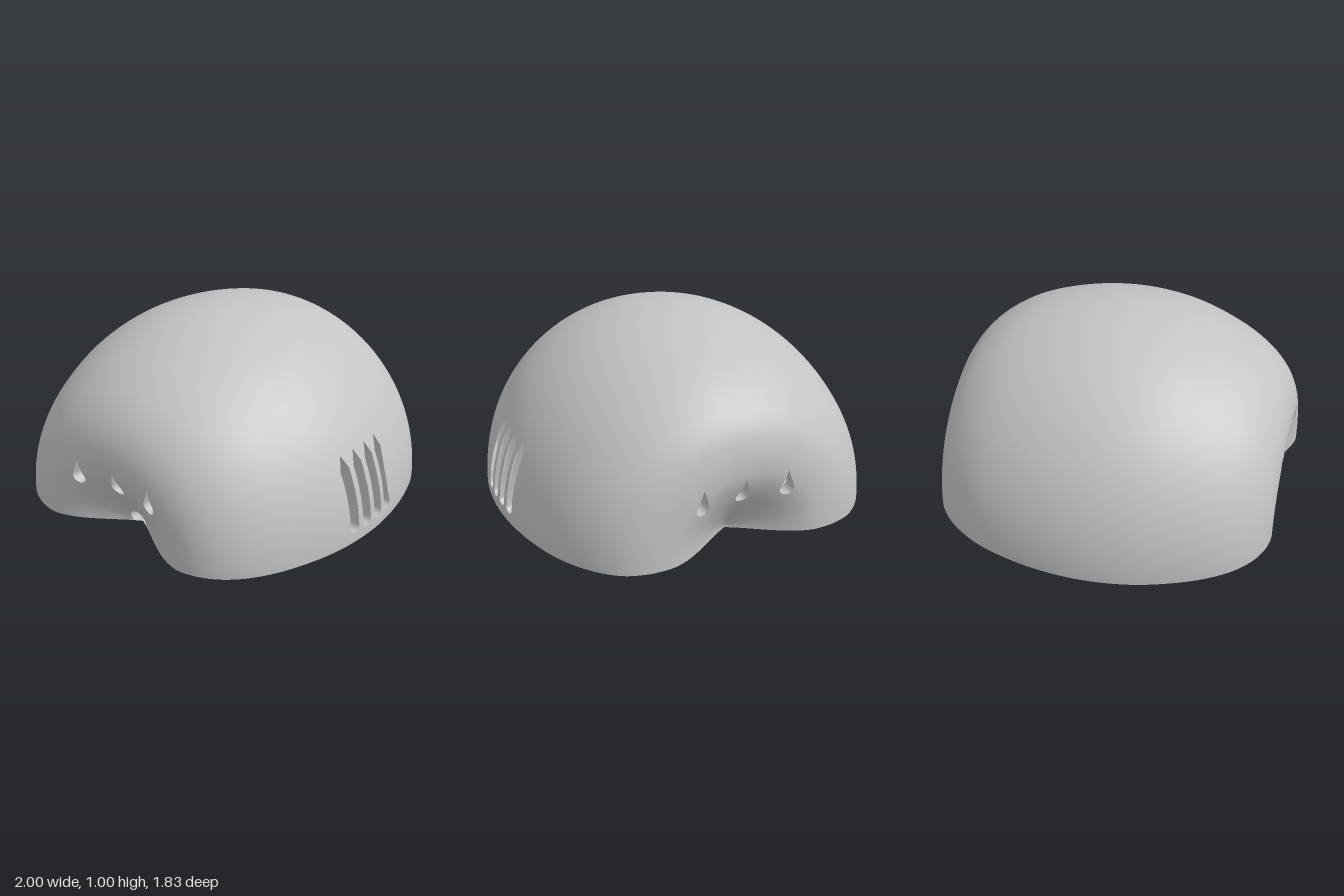
import * as THREE from 'three';
import { toCreasedNormals } from 'three/addons/utils/BufferGeometryUtils.js';

const WALL = 0.075, TURN = 96, STEPS = 90;

// Half profile [z, radius] revolved about the z axis, from front dimple to back dimple
const profile = new THREE.SplineCurve([
  [0.69, 0], [0.725, 0.06], [0.772, 0.13], [0.825, 0.21], [0.877, 0.3], [0.91, 0.39], [0.915, 0.46],
  [0.89, 0.56], [0.83, 0.665], [0.72, 0.772], [0.54, 0.876], [0.28, 0.966], [0, 1], [-0.28, 0.977], [-0.55, 0.903],
  [-0.74, 0.795], [-0.86, 0.67], [-0.906, 0.55], [-0.915, 0.46], [-0.91, 0.39], [-0.877, 0.3],
  [-0.825, 0.21], [-0.772, 0.13], [-0.725, 0.06], [-0.69, 0],
].map(([z, r]) => new THREE.Vector2(z, r))).getSpacedPoints(STEPS);

// Outward normals of the profile, and the inner skin offset along them
const normals = profile.map((p, i) => {
  if (i === 0 || i === STEPS) return new THREE.Vector2(i ? -1 : 1, 0);
  const t = profile[i + 1].clone().sub(profile[i - 1]).normalize();
  return new THREE.Vector2(t.y, -t.x);
});
const inner = profile.map((p, i) => p.clone().addScaledVector(normals[i], -WALL));

// Interpolates coordinate `get` where coordinate `key` passes `value`
function lookup(list, key, get, value) {
  for (let i = 0; i + 1 < list.length; i++) {
    const a = list[i], b = list[i + 1];
    if ((a[key] - value) * (b[key] - value) <= 0 && a[key] !== b[key]) {
      return a[get] + (b[get] - a[get]) * (value - a[key]) / (b[key] - a[key]);
    }
  }
  return list[0][get];
}

// Triangles of a half-revolved skin; every vertex is [x, y, z, nx, ny, nz]
function skin(list, sign) {
  const vert = (i, j) => {
    const a = Math.PI * j / TURN, c = Math.cos(a), s = Math.sin(a), p = list[i], n = normals[i];
    return [p.y * c, p.y * s, p.x, sign * n.y * c, sign * n.y * s, sign * n.x];
  };
  const tris = [];
  for (let i = 0; i < STEPS; i++) for (let j = 0; j < TURN; j++) {
    const a = vert(i, j), b = vert(i + 1, j), c = vert(i + 1, j + 1), d = vert(i, j + 1);
    if (sign > 0) tris.push([a, b, c], [a, c, d]);
    else tris.push([a, c, b], [a, d, c]);
  }
  return tris;
}

// Keeps the part of a convex polygon where dist * sign >= 0
function clip(poly, dist, sign) {
  const out = [];
  poly.forEach((p, i) => {
    const q = poly[(i + 1) % poly.length], dp = dist(p) * sign, dq = dist(q) * sign;
    if (dp >= 0) out.push(p);
    if (dp * dq < 0) out.push(p.map((v, k) => v + (q[k] - v) * dp / (dp - dq)));
  });
  return out;
}

// Cuts a convex prism (outline in axis/y, counter-clockwise) out of one side of a skin
function cut(tris, { outline, axis, across, side }) {
  const edges = outline.map(([a, b], i) => {
    const [c, d] = outline[(i + 1) % outline.length];
    return (p) => (c - a) * (p[1] - b) - (d - b) * (p[axis] - a);
  });
  const result = [];
  for (const tri of tris) {
    const wrongSide = tri.some((p) => p[across] * side < 0.3);
    if (wrongSide || edges.some((e) => tri.every((p) => e(p) <= 0))) { result.push(tri); continue; }
    let rest = tri;
    for (const e of edges) {
      const piece = clip(rest, e, -1);
      for (let k = 1; k + 1 < piece.length; k++) result.push([piece[0], piece[k], piece[k + 1]]);
      rest = clip(rest, e, 1);
      if (rest.length < 3) break;
    }
  }
  return result;
}

function skinGeometry(tris) {
  const g = new THREE.BufferGeometry(), verts = tris.flat();
  g.setAttribute('position', new THREE.Float32BufferAttribute(verts.flatMap((v) => v.slice(0, 3)), 3));
  g.setAttribute('normal', new THREE.Float32BufferAttribute(verts.flatMap((v) => v.slice(3)), 3));
  return g;
}

// Ribbon joining two equal rows of points
function ribbon(rowA, rowB) {
  const pos = [];
  for (let i = 0; i + 1 < rowA.length; i++) {
    const a = rowA[i], b = rowB[i], c = rowB[i + 1], d = rowA[i + 1];
    pos.push(...a, ...b, ...c, ...a, ...c, ...d);
  }
  const g = new THREE.BufferGeometry();
  g.setAttribute('position', new THREE.Float32BufferAttribute(pos, 3));
  g.computeVertexNormals();
  return toCreasedNormals(g, 0.7);
}

function arc(cx, cy, r, from, to, n) {
  return Array.from({ length: n + 1 }, (_, i) => {
    const a = THREE.MathUtils.degToRad(from + (to - from) * i / n);
    return [cx + r * Math.cos(a), cy + r * Math.sin(a)];
  });
}

export function createModel() {
  const model = new THREE.Group();
  const grey = new THREE.MeshStandardMaterial({ color: 0xc4c4c4, side: THREE.DoubleSide });
  grey.name = 'shell grey';
  const add = (parent, name, geometry, x = 0, y = 0, z = 0) => {
    const mesh = new THREE.Mesh(geometry, grey);
    mesh.name = name;
    mesh.position.set(x, y, z);
    parent.add(mesh);
  };

  // Openings: teardrops front and back, side vents, front cable hole
  const holes = [];
  for (const side of [1, -1]) for (const x of [-0.24, 0, 0.24]) {
    holes.push({ name: 'teardropEdge', outline: [[x, 0.395], ...arc(x, 0.284, 0.038, 160, 380, 14)], axis: 0, across: 2, side });
  }
  for (const z of [-0.147, -0.048, 0.053, 0.153]) {
    holes.push({
      name: 'ventEdge', axis: 2, across: 0, side: 1,
      outline: [...arc(z, 0.088, 0.033, 180, 360, 10), [z + 0.033, 0.4], [z, 0.47], [z - 0.033, 0.4]],
    });
  }
  holes.push({ name: 'cableHoleEdge', outline: arc(0, 0.033, 0.05, -41.3, 221.3, 20), axis: 0, across: 2, side: 1, open: true });

  // Outer and inner skins
  add(model, 'outerShell', skinGeometry(holes.reduce(cut, skin(profile, 1))));
  add(model, 'innerShell', skinGeometry(holes.reduce(cut, skin(inner, -1))));

  // Walls of the openings; the vents have sleeves reaching a little further in
  for (const h of holes) {
    const loop = h.open ? h.outline : [...h.outline, h.outline[0]];
    const onSkin = (list, reach) => loop.map(([a, y]) => {
      if (h.axis === 2) return [Math.min(reach, Math.sqrt(lookup(list, 'x', 'y', a) ** 2 - y * y)), y, a];
      const ordered = h.side > 0 ? list : [...list].reverse();
      return [a, y, lookup(ordered, 'y', 'x', Math.hypot(a, y))];
    });
    add(model, h.name, ribbon(onSkin(profile, 1), onSkin(inner, 0.865)));
  }

  // Bottom rim between the two skins
  for (const s of [1, -1]) {
    const row = (list) => list.map((p) => [s * p.y, 0, p.x]);
    add(model, 'bottomRim', s > 0 ? ribbon(row(profile), row(inner)) : ribbon(row(inner), row(profile)));
  }

  // Inside fittings, mirrored left and right
  for (const mirror of [1, -1]) {
    const fittings = new THREE.Group();
    fittings.name = mirror > 0 ? 'leftFittings' : 'rightFittings';
    fittings.scale.x = mirror;
    model.add(fittings);
    const box = (name, w, h, d, x, y, z) => add(fittings, name, new THREE.BoxGeometry(w, h, d), x, y + h / 2, z);
    const socket = (name, hole, radius, depth, height, x, z) => add(fittings, name, toCreasedNormals(
      new THREE.LatheGeometry([[0, depth], [hole, depth], [hole, 0], [radius, 0], [radius, height], [0, height]]
        .map(([r, y]) => new THREE.Vector2(r, y)), 32), 0.6), x, 0, z);

    for (const s of [1, -1]) {
      // Round sockets, tall screw posts and the arms tying the posts to the rim
      socket('magnetSocket', 0.08, 0.115, 0.12, 0.36, 0.7, s * 0.47);
      socket('screwPost', 0.028, 0.068, 0.2, 0.7, 0.42, s * 0.42);
      box('postArm', 0.136, 0.08, 0.38, 0.42, 0, s * 0.67);
      box('trayEndWall', 0.27, 0.255, 0.04, 0.675, 0, s * 0.29);
    }

    // Flange along the side, following the outline
    const flange = new THREE.Shape();
    flange.moveTo(0.78, -0.56);
    for (let i = -14; i <= 14; i++) flange.lineTo(lookup(profile, 'x', 'y', i * 0.04) - 0.03, i * 0.04);
    flange.lineTo(0.78, 0.56);
    add(fittings, 'sideFlange', new THREE.ExtrudeGeometry(flange, { depth: 0.05, bevelEnabled: false })
      .rotateX(Math.PI / 2), 0, 0.05, 0);

    // Stepped open tray between the sockets
    box('trayInnerWall', 0.03, 0.265, 0.62, 0.545, 0, 0);
    box('trayRoof', 0.28, 0.01, 0.62, 0.67, 0.255, 0);
    box('trayLedge', 0.03, 0.03, 0.54, 0.575, 0.03, 0);
    box('trayLedge', 0.04, 0.03, 0.54, 0.76, 0.02, 0);
  }
  return model;
}
